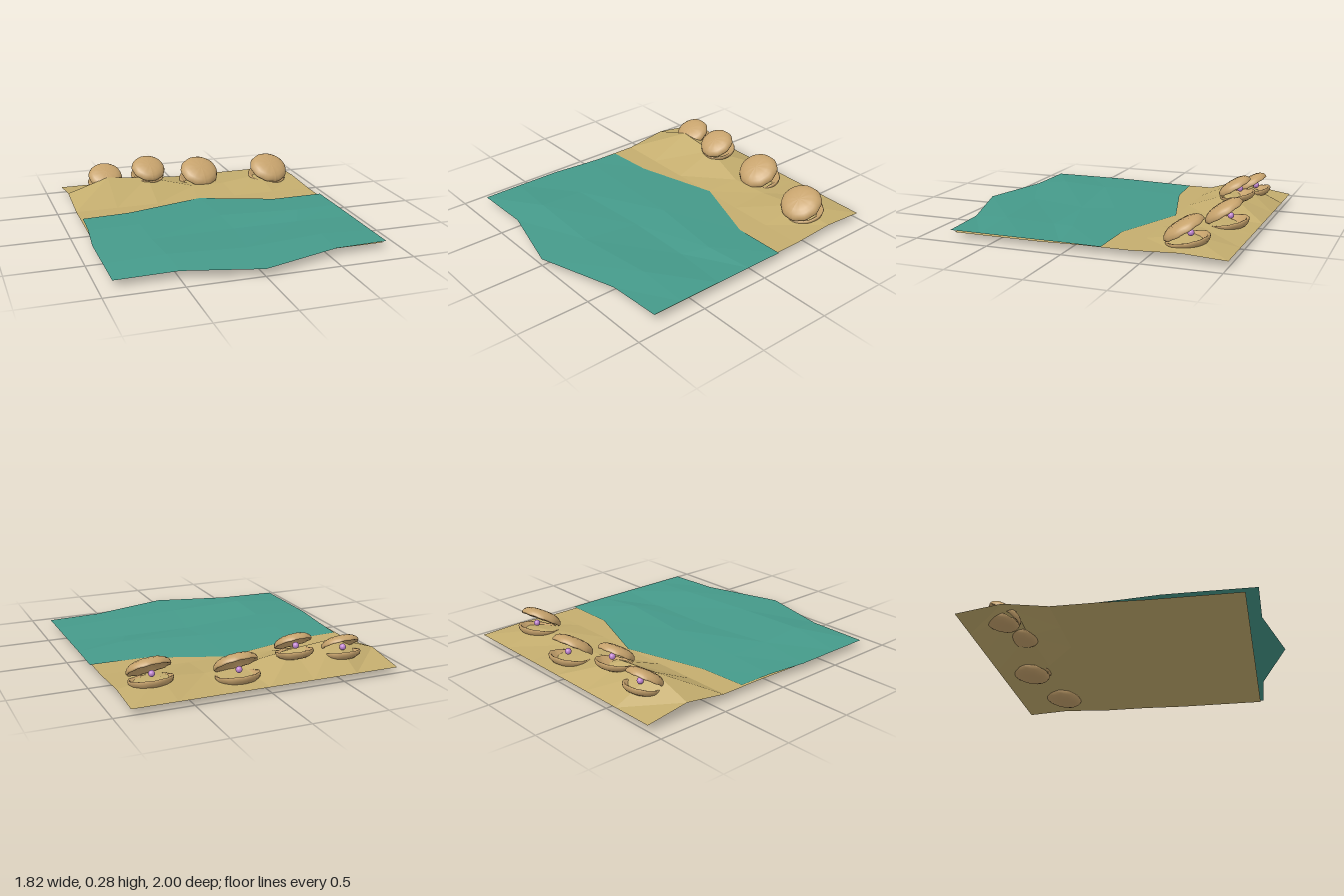
import * as THREE from 'three';

const mat = (color, flatShading = false) =>
  new THREE.MeshStandardMaterial({ color, flatShading, side: THREE.DoubleSide });

// Faceted sheet from rows of [x, y, z] points (rows run back to front, points run along +x)
function sheet(name, rows, material) {
  const n = rows[0].length, index = [];
  for (let r = 0; r < rows.length - 1; r++) {
    for (let c = 0; c < n - 1; c++) {
      const a = r * n + c, b = a + 1, d = a + n, e = d + 1;
      index.push(a, d, b, b, d, e);
    }
  }
  const indexed = new THREE.BufferGeometry();
  indexed.setAttribute('position', new THREE.Float32BufferAttribute(rows.flat(2), 3));
  indexed.setIndex(index);
  const geo = indexed.toNonIndexed();
  geo.computeVertexNormals();
  const mesh = new THREE.Mesh(geo, material);
  mesh.name = name;
  return mesh;
}

// Unit half shell: a hollow dome with a rim, faintly ribbed and uneven
function shellGeometry() {
  const outline = [[0, 0.32], [0.4, 0.29], [0.7, 0.19], [0.88, 0.02], [0.97, 0], [1, 0.07],
    [0.94, 0.22], [0.8, 0.33], [0.6, 0.41], [0.32, 0.45], [0, 0.46]];
  const geo = new THREE.LatheGeometry(outline.map(([r, h]) => new THREE.Vector2(r, h)), 40);
  const p = geo.attributes.position;
  for (let i = 0; i < p.count; i++) {
    const x = p.getX(i), z = p.getZ(i), r = Math.hypot(x, z), a = Math.atan2(x, z);
    const k = 1 + 0.012 * r * Math.sin(a * 10) + 0.01 * r * Math.sin(a * 3 + 1);
    p.setXYZ(i, x * k, p.getY(i) + 0.012 * r * Math.sin(a * 10 + r * 4), z * k * 0.97);
  }
  geo.computeVertexNormals();
  return geo;
}

export function createModel() {
  const model = new THREE.Group();
  const sandMat = mat(0xc4ad6e, true), waterMat = mat(0x459a8a, true);
  const shellMat = mat(0xc6a26c), pearlMat = mat(0xc084d0);

  // Sand: a flat grid with one raised dune row near the back
  const xs = [-0.885, -0.59, -0.29, 0.01, 0.3, 0.6, 0.89];
  const dune = [[-0.885, 0.085, -0.7], [-0.59, 0.18, -0.7], [-0.29, 0.15, -0.7], [0.05, 0.07, -0.64],
    [0.3, 0.06, -0.67], [0.6, 0.09, -0.69], [0.885, 0.055, -0.71]];
  const sandRows = [-1, -0.7, -0.4, -0.1, 0.2, 0.5, 0.79].map((z, r) =>
    r === 1 ? dune : xs.map((x) => [x, r > 3 ? 0.034 : 0.041, z]));
  model.add(sheet('sand', sandRows, sandMat));

  // Water: gently rippled sheet with pointed shoreline
  model.add(sheet('water', [
    [[-0.87, 0.045, -0.235], [-0.54, 0.046, -0.255], [0.025, 0.046, -0.41], [0.54, 0.046, -0.22], [0.905, 0.048, -0.22]],
    [[-0.88, 0.048, 0], [-0.53, 0.058, 0.02], [0.04, 0.062, 0.03], [0.59, 0.065, 0.1], [0.905, 0.05, 0.05]],
    [[-0.91, 0.047, 0.29], [-0.53, 0.062, 0.33], [0.05, 0.045, 0.27], [0.51, 0.045, 0.27], [0.905, 0.05, 0.3]],
    [[-0.91, 0.047, 0.6], [-0.52, 0.08, 0.65], [0, 0.062, 0.66], [0.54, 0.068, 0.6], [0.905, 0.05, 0.6]],
    [[-0.91, 0.046, 0.87], [-0.5, 0.052, 0.87], [0, 0.05, 1], [0.54, 0.052, 0.83], [0.905, 0.05, 0.81]],
  ], waterMat));

  // Clams: two shells hinged at the front, open towards the back, with a pearl inside
  const shellGeo = shellGeometry();
  const pearlGeo = new THREE.SphereGeometry(0.021, 24, 16);
  const clams = [ // hinge x, y, z; radius; upper and lower lift; turn
    [-0.585, 0.095, -0.675, 0.124, 0.55, 0.25, 0.05],
    [-0.26, 0.135, -0.637, 0.124, 0.55, 0.22, 0.1],
    [0.155, 0.048, -0.66, 0.144, 0.58, 0.21, 0.12],
    [0.685, 0.06, -0.55, 0.144, 0.56, 0.22, 0.15],
  ];
  for (const [x, y, z, radius, upperLift, lowerLift, turn] of clams) {
    const clam = new THREE.Group();
    clam.name = 'clam';
    clam.position.set(x, y, z);
    clam.rotation.y = turn;
    for (const [name, lift, side] of [['upperShell', upperLift, 1], ['lowerShell', lowerLift, -1]]) {
      const hinge = new THREE.Group();
      hinge.name = name;
      hinge.rotation.x = lift;
      const shell = new THREE.Mesh(shellGeo, shellMat);
      shell.name = name + 'Dome';
      shell.scale.set(radius, radius * side, radius);
      shell.position.z = -radius;
      hinge.add(shell);
      clam.add(hinge);
    }
    const pearl = new THREE.Mesh(pearlGeo, pearlMat);
    pearl.name = 'pearl';
    pearl.position.set(0, 0.062, -radius * 1.1);
    clam.add(pearl);
    model.add(clam);
  }
  return model;
}
